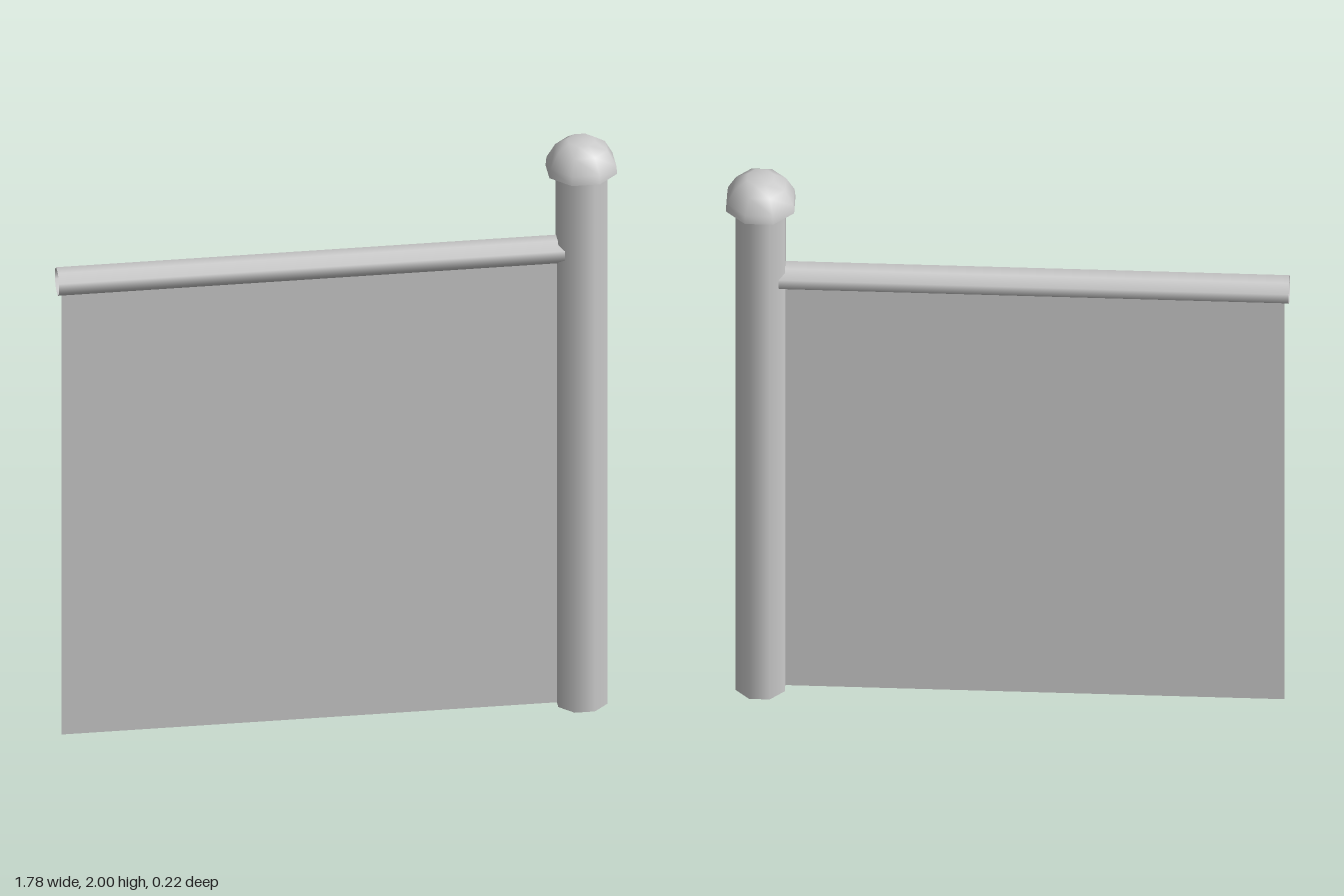
import * as THREE from 'three';

const SIDES = 8;
const TURN = Math.PI / SIDES; // puts flat faces on the x and z axes
const circum = (apothem) => apothem / Math.cos(TURN);

export function createModel() {
  const model = new THREE.Group();
  const solid = new THREE.MeshStandardMaterial({ color: 0xcccccc });
  const open = new THREE.MeshStandardMaterial({ color: 0xcccccc, side: THREE.DoubleSide });
  const postX = 0.78;

  const add = (name, geometry, material, x, y, z = 0) => {
    const mesh = new THREE.Mesh(geometry, material);
    mesh.name = name;
    mesh.position.set(x, y, z);
    model.add(mesh);
    return mesh;
  };

  // Octagonal post
  const postR = circum(0.078);
  add('post', new THREE.CylinderGeometry(postR, postR, 1.92, SIDES, 1, false, TURN), solid, postX, 0.96);

  // Domed cap with a small flat top
  const dome = [[0.108, 0], [0.105, 0.03], [0.079, 0.079], [0.042, 0.105], [0, 0.105]]
    .map(([r, y]) => new THREE.Vector2(circum(r), y));
  add('capDome', new THREE.LatheGeometry(dome, SIDES, TURN), solid, postX, 1.895);

  // Flat underside of the cap
  const base = new THREE.CircleGeometry(circum(0.108), SIDES, TURN).rotateX(Math.PI / 2);
  add('capUnderside', base, solid, postX, 1.895);

  // Hollow rail, open at its free end, slightly wider than tall
  const railR = circum(0.04);
  const rail = new THREE.CylinderGeometry(railR, railR, 1.62, SIDES, 1, true, TURN)
    .rotateZ(Math.PI / 2)
    .scale(1, 1, 1.27);
  add('rail', rail, open, -0.08, 1.617);

  // Thin panel hanging from the rail
  add('panel', new THREE.PlaneGeometry(1.59, 1.58), open, -0.08, 0.79);

  return model;
}
